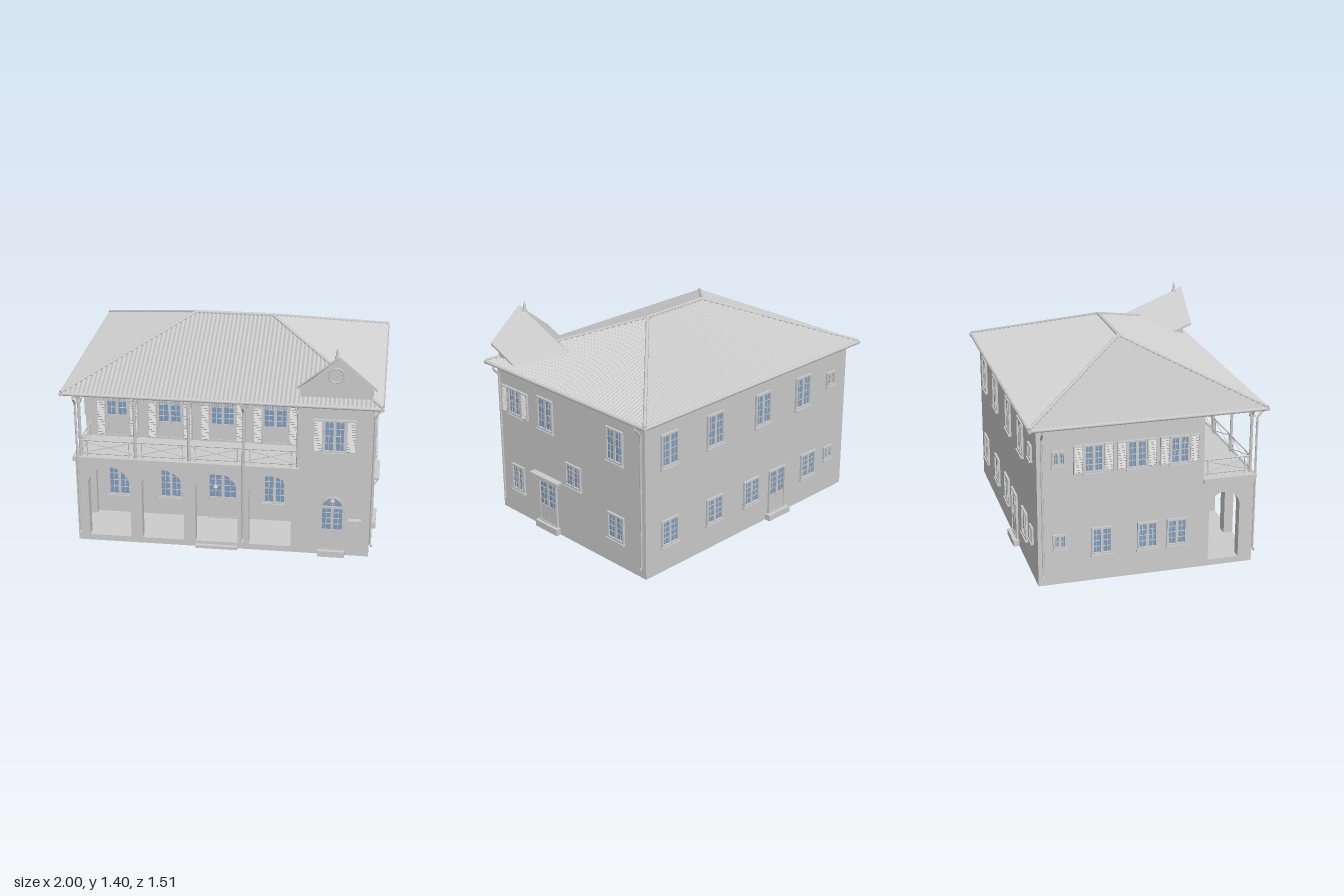
import * as THREE from 'three';

const grey = new THREE.MeshStandardMaterial({ color: 0xcccccc });
const sheet = new THREE.MeshStandardMaterial({ color: 0xcccccc, side: THREE.DoubleSide, flatShading: true });
const glass = new THREE.MeshStandardMaterial({ color: 0x7f9dbf });

const add = (parent, name, geo, mat = grey) => {
  const m = new THREE.Mesh(geo, mat);
  m.name = name;
  parent.add(m);
  return m;
};
// Box given by its minimum and maximum corners
const box = (p, name, x0, x1, y0, y1, z0, z1, mat) => {
  const m = add(p, name, new THREE.BoxGeometry(x1 - x0, y1 - y0, z1 - z0), mat);
  m.position.set((x0 + x1) / 2, (y0 + y1) / 2, (z0 + z1) / 2);
  return m;
};
// Round bar between two points
const rod = (p, name, a, b, r, sides = 8) => {
  const A = new THREE.Vector3(...a), B = new THREE.Vector3(...b), d = B.clone().sub(A);
  const m = add(p, name, new THREE.CylinderGeometry(r, r, d.length(), sides));
  m.position.copy(A).add(B).multiplyScalar(0.5);
  m.quaternion.setFromUnitVectors(new THREE.Vector3(0, 1, 0), d.normalize());
  return m;
};
const extrude = (shape, depth) => new THREE.ExtrudeGeometry(shape, { depth, bevelEnabled: false, curveSegments: 20 });
const poly = (pts) => new THREE.Shape(pts.map(([x, y]) => new THREE.Vector2(x, y)));
const rect = (x0, x1, y0, y1) => poly([[x0, y0], [x1, y0], [x1, y1], [x0, y1]]);
// Round-headed outline: centre, half width, foot and springing height
const arch = (cx, r, y0, ys) => {
  const s = new THREE.Shape();
  s.moveTo(cx - r, y0);
  s.lineTo(cx + r, y0);
  s.lineTo(cx + r, ys);
  s.absarc(cx, ys, r, 0, Math.PI, false);
  s.lineTo(cx - r, y0);
  return s;
};

// Louvred shutter leaf
function shutter(p, cx, y0, y1) {
  const g = new THREE.Group(), w = 0.031;
  g.name = 'shutter';
  const frame = rect(cx - w, cx + w, y0, y1);
  frame.holes.push(rect(cx - w + 0.007, cx + w - 0.007, y0 + 0.01, y1 - 0.01));
  add(g, 'shutterFrame', extrude(frame, 0.016));
  const n = Math.round((y1 - y0) / 0.018);
  for (let i = 0; i < n; i++) {
    const s = add(g, 'louvre', new THREE.BoxGeometry(2 * w - 0.012, 0.003, 0.018));
    s.position.set(cx, y0 + 0.01 + (y1 - y0 - 0.02) * (i + 0.5) / n, 0.008);
    s.rotation.x = 0.7;
  }
  p.add(g);
}

// Casement window or glazed door, facing +z, centred on x = 0
function opening(w, y0, y1, { door = false, shutters = false, rows = 4 } = {}) {
  const g = new THREE.Group(), h = w / 2, b = 0.013;
  g.name = door ? 'door' : 'window';
  const frame = rect(-h, h, y0, y1);
  frame.holes.push(rect(-h + b, h - b, y0 + b, y1 - b));
  add(g, 'frame', extrude(frame, 0.014));
  const g0 = door ? y0 + (y1 - y0) * 0.42 : y0 + b;
  box(g, 'glass', -h + b, h - b, g0, y1 - b, 0, 0.003, glass);
  if (door) box(g, 'doorPanel', -h + b, h - b, y0, g0, 0, 0.008);
  box(g, 'meetingStile', -0.009, 0.009, y0, y1 - b, 0, 0.01);
  for (const s of [-1, 1]) {
    box(g, 'glazingBar', s * w / 4 - 0.002, s * w / 4 + 0.002, g0, y1 - b, 0, 0.006);
    if (shutters) shutter(g, s * (h + 0.032), y0, y1);
  }
  for (let i = 1; i < rows; i++) {
    const y = g0 + (y1 - b - g0) * i / rows;
    box(g, 'glazingBar', -h + b, h - b, y - 0.002, y + 0.002, 0, 0.006);
  }
  if (!door) box(g, 'sill', -h - 0.006, h + 0.006, y0 - 0.012, y0, 0, 0.022);
  return g;
}

// Round-headed window or door
function archedOpening(r, y0, ys, door) {
  const g = new THREE.Group(), b = 0.012;
  g.name = door ? 'archedDoor' : 'archedWindow';
  const frame = arch(0, r, y0, ys);
  frame.holes.push(arch(0, r - b, y0 + 0.008, ys));
  add(g, 'frame', extrude(frame, 0.014));
  add(g, 'glass', extrude(arch(0, r - b, y0, ys), 0.003), glass);
  const g0 = door ? y0 + (ys - y0) * 0.48 : y0 + b;
  box(g, 'lowerPanel', -r + b, r - b, y0, g0, 0, 0.008);
  box(g, 'transom', -r + b, r - b, ys - 0.008, ys + 0.008, 0, 0.01);
  box(g, 'meetingStile', -0.009, 0.009, y0, ys, 0, 0.01);
  for (const s of [-1, 1]) {
    box(g, 'glazingBar', s * r / 2 - 0.002, s * r / 2 + 0.002, g0, ys, 0, 0.006);
    rod(g, 'fanBar', [0, ys, 0.004], [s * r * 0.55, ys + r * 0.7, 0.004], 0.002, 4);
  }
  for (let i = 1; i < 4; i++) {
    const y = g0 + (ys - g0) * i / 4;
    box(g, 'glazingBar', -r + b, r - b, y - 0.002, y + 0.002, 0, 0.006);
  }
  if (!door) box(g, 'sill', -r - 0.006, r + 0.006, y0 - 0.012, y0, 0, 0.022);
  return g;
}

// Corrugated roof slope facing +z, narrowing from eave to ridge
function roofSlope(half, run, ridgeHalf) {
  const n = 2 * Math.round(half / 0.0135), v = [];
  const column = (i) => {
    const x = -half + 2 * half * i / n, t = Math.min(1, (half - Math.abs(x)) / (half - ridgeHalf));
    const y = 1.05 + (i % 2) * 0.01;
    return [[x, y, run], [x, y + 0.295 * t, run - 0.74 * t]];
  };
  for (let i = 0; i < n; i++) {
    const [a, d] = column(i), [b, c] = column(i + 1);
    v.push(...a, ...b, ...c, ...a, ...c, ...d);
  }
  const geo = new THREE.BufferGeometry();
  geo.setAttribute('position', new THREE.Float32BufferAttribute(v, 3));
  geo.computeVertexNormals();
  return geo;
}

// Gable profile run back into the roof, its ridge falling to the rear
function dormerPart(pts, z0, z1) {
  const geo = extrude(poly(pts), 1), p = geo.attributes.position;
  for (let i = 0; i < p.count; i++) {
    const x = p.getX(i), y = p.getY(i);
    const z = p.getZ(i) > 0.5 ? z1 : z0 + 0.22 * Math.abs(x) / 0.24;
    p.setXYZ(i, x + 0.71, y > 1.1 ? y - (0.73 - z) * 0.4 : y, z);
  }
  geo.computeVertexNormals();
  return geo;
}

function lantern(p, x, y, z) {
  const g = new THREE.Group();
  g.name = 'lantern';
  rod(g, 'lanternArm', [0, 0.035, -0.04], [0, 0.035, 0], 0.003);
  add(g, 'lanternBody', new THREE.CylinderGeometry(0.014, 0.009, 0.03, 6));
  add(g, 'lanternCap', new THREE.ConeGeometry(0.018, 0.02, 6)).position.y = 0.025;
  g.position.set(x, y, z);
  p.add(g);
}

export function createModel() {
  const root = new THREE.Group();
  root.name = 'building';
  const L = -0.93, R = 0.94, F = 0.69, B = -0.69, P = 0.36;
  const place = (g, side, u, z = F) => {
    if (side === 'front') g.position.set(u, 0, z);
    if (side === 'right') { g.position.set(R, 0, u); g.rotation.y = Math.PI / 2; }
    if (side === 'back') { g.position.set(u, 0, B); g.rotation.y = Math.PI; }
    if (side === 'left') { g.position.set(L, 0, u); g.rotation.y = -Math.PI / 2; }
    root.add(g);
  };

  // Walls, porch floor and balcony slab
  box(root, 'mainWalls', L, R, 0, 1.04, B, P);
  box(root, 'frontWing', 0.49, R, 0, 1.04, P, F);
  box(root, 'porchFloor', L, 0.49, 0, 0.04, P, F - 0.005);
  box(root, 'balconySlab', L - 0.015, 0.49, 0.568, 0.597, P, F + 0.012);
  const bays = [-0.72, -0.375, -0.03, 0.31];
  const arcade = rect(L, 0.49, 0, 0.57);
  bays.forEach((x) => arcade.holes.push(arch(x, 0.135, 0.04, 0.395)));
  add(root, 'arcade', extrude(arcade, 0.06)).position.z = F - 0.06;
  const sideArch = rect(P, F - 0.06, 0, 0.57);
  sideArch.holes.push(arch(0.5, 0.1, 0.04, 0.395));
  const side = add(root, 'sideArcade', extrude(sideArch, 0.06));
  side.rotation.y = -Math.PI / 2;
  side.position.x = L + 0.06;
  for (const x of bays) for (const s of [-1, 1])
    box(root, 'impost', x + s * 0.139 - 0.006, x + s * 0.139 + 0.006, 0.38, 0.395, F - 0.062, F + 0.005);

  // Front openings
  bays.forEach((x, i) => {
    place(i === 2 ? archedOpening(0.1, 0.04, 0.365, true) : archedOpening(0.075, 0.17, 0.375, false), 'front', x, P);
    place(opening(i ? 0.165 : 0.15, 0.6, i ? 0.89 : 0.965, { door: true, shutters: true }), 'front', x, P);
  });
  place(archedOpening(0.075, 0.04, 0.34, true), 'front', 0.705);
  place(opening(0.14, 0.72, 0.94, { shutters: true }), 'front', 0.705);
  box(root, 'frontStep', 0.62, 0.79, 0, 0.04, F, 0.73);
  box(root, 'porchStep', -0.165, 0.105, 0, 0.02, F, 0.715);
  box(root, 'letterBox', 0.81, 0.882, 0.145, 0.255, F, 0.72);
  box(root, 'letterBoxLid', 0.806, 0.886, 0.255, 0.264, F, 0.727);
  box(root, 'letterSlot', 0.825, 0.867, 0.222, 0.234, 0.72, 0.724);
  lantern(root, -0.03, 0.435, 0.72);
  lantern(root, 0.705, 0.385, 0.73);

  // Right side
  place(opening(0.13, 0.72, 0.905, { shutters: true }), 'right', 0.515);
  for (const z of [0.215, -0.43]) place(opening(0.148, 0.71, 0.932), 'right', z);
  place(opening(0.145, 0.395, 0.555), 'right', -0.04);
  place(opening(0.125, 0.175, 0.36), 'right', 0.515);
  place(opening(0.148, 0.175, 0.355), 'right', -0.43);
  place(opening(0.175, 0.04, 0.35, { door: true }), 'right', 0.215);
  box(root, 'sideStep', R, 0.975, 0, 0.045, 0.11, 0.32);
  box(root, 'canopy', R, 0.985, 0.375, 0.389, 0.08, 0.35);
  for (const z of [0.095, 0.335]) rod(root, 'canopyBracket', [R, 0.315, z], [0.98, 0.375, z], 0.004);

  // Back
  for (const x of [0.74, 0.345, -0.095, -0.485]) place(opening(0.148, 0.71, 0.932), 'back', x);
  for (const x of [0.74, 0.345, 0, -0.565]) place(opening(0.148, 0.175, 0.355), 'back', x);
  for (const y of [0.785, 0.24]) place(opening(0.085, y, y + 0.095, { rows: 2 }), 'back', -0.77);
  place(opening(0.16, 0.04, 0.35, { door: true }), 'back', -0.25);
  box(root, 'backStep', -0.35, -0.15, 0, 0.04, -0.73, B);

  // Left side
  for (const z of [-0.34, -0.07, 0.2]) place(opening(0.125, 0.72, 0.905, { shutters: true }), 'left', z);
  for (const z of [-0.29, 0, 0.19]) place(opening(0.13, 0.175, 0.355), 'left', z);
  for (const y of [0.785, 0.24]) place(opening(0.085, y, y + 0.095, { rows: 2 }), 'left', -0.555);

  // Balcony posts, railing and eaves fringe
  const posts = [-0.895, -0.545, -0.205, 0.14, 0.48], zr = 0.675;
  const railing = (a, b) => {
    const at = (p, y) => [p[0], y, p[1]];
    for (const y of [0.615, 0.705]) rod(root, 'rail', at(a, y), at(b, y), 0.005);
    for (const t of [0.12, 0.88]) {
      const p = [a[0] + (b[0] - a[0]) * t, a[1] + (b[1] - a[1]) * t];
      rod(root, 'baluster', at(p, 0.597), at(p, 0.705), 0.003, 6);
    }
    rod(root, 'crossBrace', at(a, 0.615), at(b, 0.705), 0.0025, 6);
    rod(root, 'crossBrace', at(a, 0.705), at(b, 0.615), 0.0025, 6);
  };
  posts.forEach((x, i) => {
    rod(root, 'balconyPost', [x, 0.597, zr], [x, 1.04, zr], 0.01);
    box(root, 'postCap', x - 0.015, x + 0.015, 0.965, 0.98, zr - 0.015, zr + 0.015);
    for (const s of [-1, 1]) if (x + s * 0.05 < 0.49) rod(root, 'postBrace', [x, 0.97, zr], [x + s * 0.045, 1.025, zr], 0.005);
    if (i === 4) return;
    const x1 = posts[i + 1];
    railing([x, zr], [x1, zr]);
    for (let f = x + 0.055; f < x1 - 0.05; f += 0.014) box(root, 'fringeSlat', f, f + 0.009, 0.982, 1.03, zr - 0.004, zr + 0.004);
    box(root, 'fringeRail', x, x1, 1.012, 1.03, zr - 0.006, zr + 0.006);
  });
  railing([-0.895, P], [-0.895, zr]);

  // Hipped corrugated roof with ridge caps, soffit and gutters
  box(root, 'soffit', -0.98, 0.98, 1.03, 1.045, -0.73, 0.73);
  for (let i = 0; i < 4; i++) {
    const geo = i % 2 ? roofSlope(0.74, 0.99, 0) : roofSlope(0.99, 0.74, 0.25);
    add(root, 'roofSlope', geo, sheet).rotation.y = i * Math.PI / 2;
  }
  rod(root, 'ridgeCap', [-0.25, 1.35, 0], [0.25, 1.35, 0], 0.012);
  for (const sx of [-1, 1]) {
    for (const sz of [-1, 1]) rod(root, 'hipCap', [sx * 0.99, 1.055, sz * 0.74], [sx * 0.25, 1.35, 0], 0.011);
    rod(root, 'sideGutter', [sx * 0.988, 1.042, -0.75], [sx * 0.988, 1.042, 0.75], 0.012);
    rod(root, 'longGutter', [-1, 1.042, sx * 0.738], [1, 1.042, sx * 0.738], 0.012);
  }

  // Downpipes with goosenecks
  const downpipe = (x, z, dx, dz) => {
    const pts = [[0.045, 1.04], [0.045, 1.015], [0, 0.965], [0, 0.08], [0.012, 0.06]];
    for (let i = 0; i < 4; i++) {
      const [a, b] = [pts[i], pts[i + 1]].map(([o, y]) => [x + dx * o, y, z + dz * o]);
      rod(root, 'downpipe', a, b, 0.007);
    }
    for (const y of [0.3, 0.6, 0.9]) rod(root, 'pipeClip', [x, y - 0.005, z], [x, y + 0.005, z], 0.01);
  };
  for (const z of [0.665, -0.66]) downpipe(R + 0.008, z, 1, 0);
  downpipe(L - 0.008, -0.66, -1, 0);
  for (const x of [-0.912, 0.14]) downpipe(x, F + 0.014, 0, 1);

  // Clock gable
  add(root, 'gable', dormerPart([[-0.22, 1.04], [0.22, 1.04], [0.22, 1.16], [0, 1.35], [-0.22, 1.16]], 0.27, 0.68), sheet);
  add(root, 'gableRoof', dormerPart([[-0.24, 1.15], [0, 1.348], [0.24, 1.15], [0.24, 1.165], [0, 1.363], [-0.24, 1.165]], 0.23, 0.73), sheet);
  rod(root, 'clockCase', [0.705, 1.23, 0.67], [0.705, 1.23, 0.695], 0.046, 32);
  const rim = add(root, 'clockRim', new THREE.TorusGeometry(0.046, 0.005, 8, 32));
  rim.position.set(0.705, 1.23, 0.695);
  rod(root, 'clockHand', [0.705, 1.23, 0.697], [0.735, 1.24, 0.697], 0.002, 6);
  rod(root, 'clockHand', [0.705, 1.23, 0.697], [0.685, 1.238, 0.697], 0.002, 6);
  const finial = [[0.015, 0], [0.015, 0.012], [0.008, 0.018], [0.011, 0.026], [0, 0.07]];
  add(root, 'finial', new THREE.LatheGeometry(finial.map(([x, y]) => new THREE.Vector2(x, y)), 12)).position.set(0.705, 1.335, 0.675);
  return root;
}
